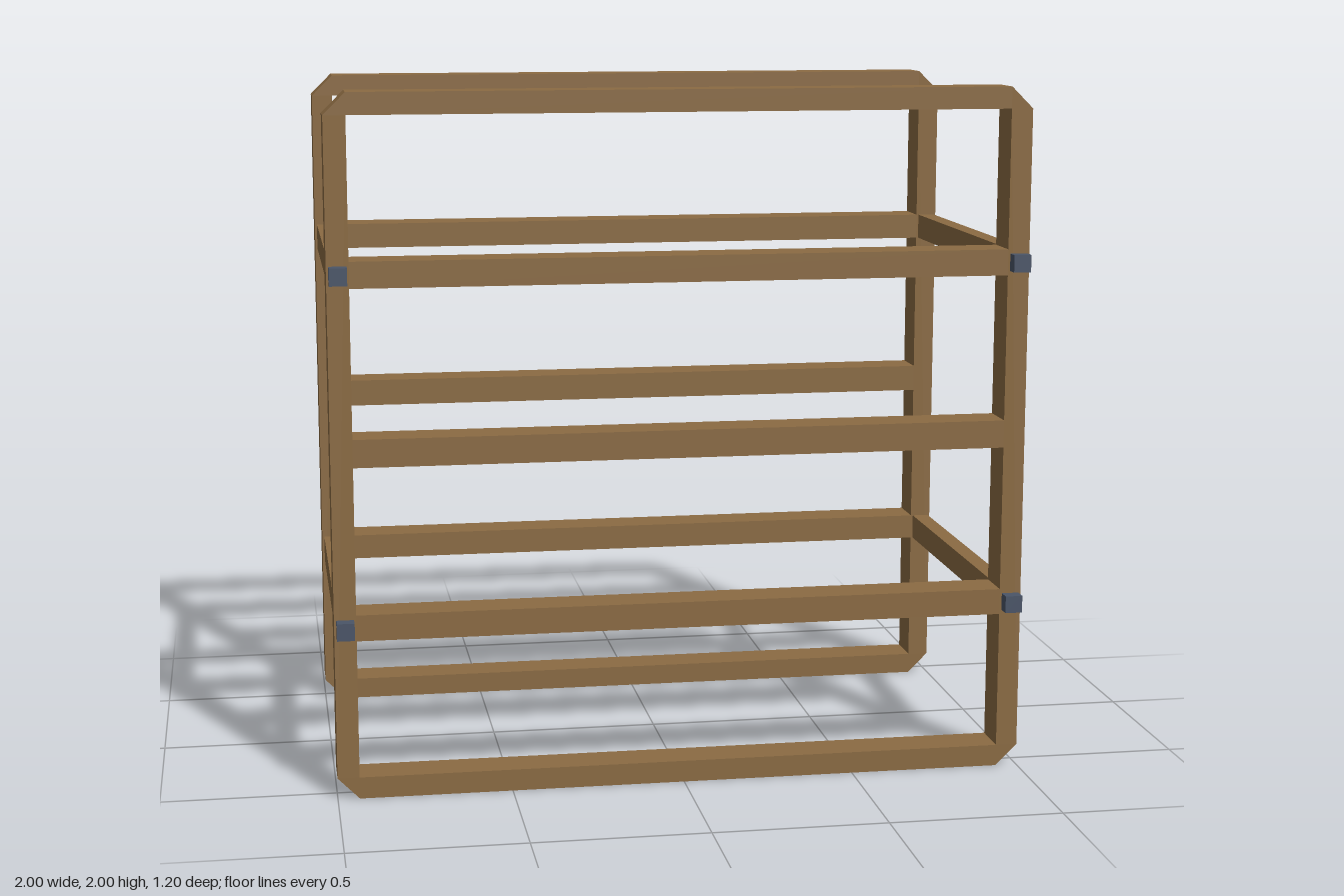
import * as THREE from 'three';

export function createModel() {
  const model = new THREE.Group();
  const wood = new THREE.MeshStandardMaterial({ name: 'brown wood', color: 0x8b6b43 });
  const steel = new THREE.MeshStandardMaterial({ name: 'blue grey steel', color: 0x4a5568 });

  const T = 0.0625;  // thickness of the frame bars
  const D = 0.12;    // depth of the frame bars
  const FZ = 0.5;    // distance of each frame from the centre
  const PX = 1 - T / 2;  // centre line of the posts
  const inner = 1 - T;

  function box(parent, name, material, w, h, d, x, y, z) {
    const mesh = new THREE.Mesh(new THREE.BoxGeometry(w, h, d), material);
    mesh.name = name;
    mesh.position.set(x, y, z);
    parent.add(mesh);
  }

  // Rectangular outline with chamfered outer corners and a square opening
  const outline = new THREE.Shape([
    [-inner, 0], [inner, 0], [1, T], [1, 2 - T],
    [inner, 2], [-inner, 2], [-1, 2 - T], [-1, T],
  ].map(([x, y]) => new THREE.Vector2(x, y)));
  outline.holes.push(new THREE.Path([
    [-inner, T], [-inner, 2 - T], [inner, 2 - T], [inner, T],
  ].map(([x, y]) => new THREE.Vector2(x, y))));
  const frameGeometry = new THREE.ExtrudeGeometry(outline, { depth: D, bevelEnabled: false });
  frameGeometry.translate(0, 0, -D / 2);

  for (const side of [1, -1]) {
    const end = new THREE.Group();
    end.name = side > 0 ? 'frontFrame' : 'backFrame';
    end.position.z = side * FZ;
    model.add(end);

    const border = new THREE.Mesh(frameGeometry, wood);
    border.name = 'outerFrame';
    end.add(border);

    // Horizontal rails between the posts
    for (const [name, y, h] of [['lowerRail', 0.5, 0.075], ['middleRail', 1, 0.08], ['upperRail', 1.5, 0.075]]) {
      box(end, name, wood, 2 * inner, h, D, 0, y, 0);
    }

    // Square bolt heads on the outer face of the posts
    for (const x of [-PX, PX]) {
      for (const y of [0.5, 1.5]) {
        box(end, 'boltHead', steel, 0.05, 0.05, 0.04, x, y, side * (D / 2 + 0.02));
      }
    }
  }

  // Side rails joining the two frames
  for (const x of [-PX, PX]) {
    for (const y of [0.5, 1.5]) {
      box(model, x > 0 ? 'leftSideRail' : 'rightSideRail', wood, 0.05, 0.075, 2 * FZ - D, x, y, 0);
    }
  }

  return model;
}
